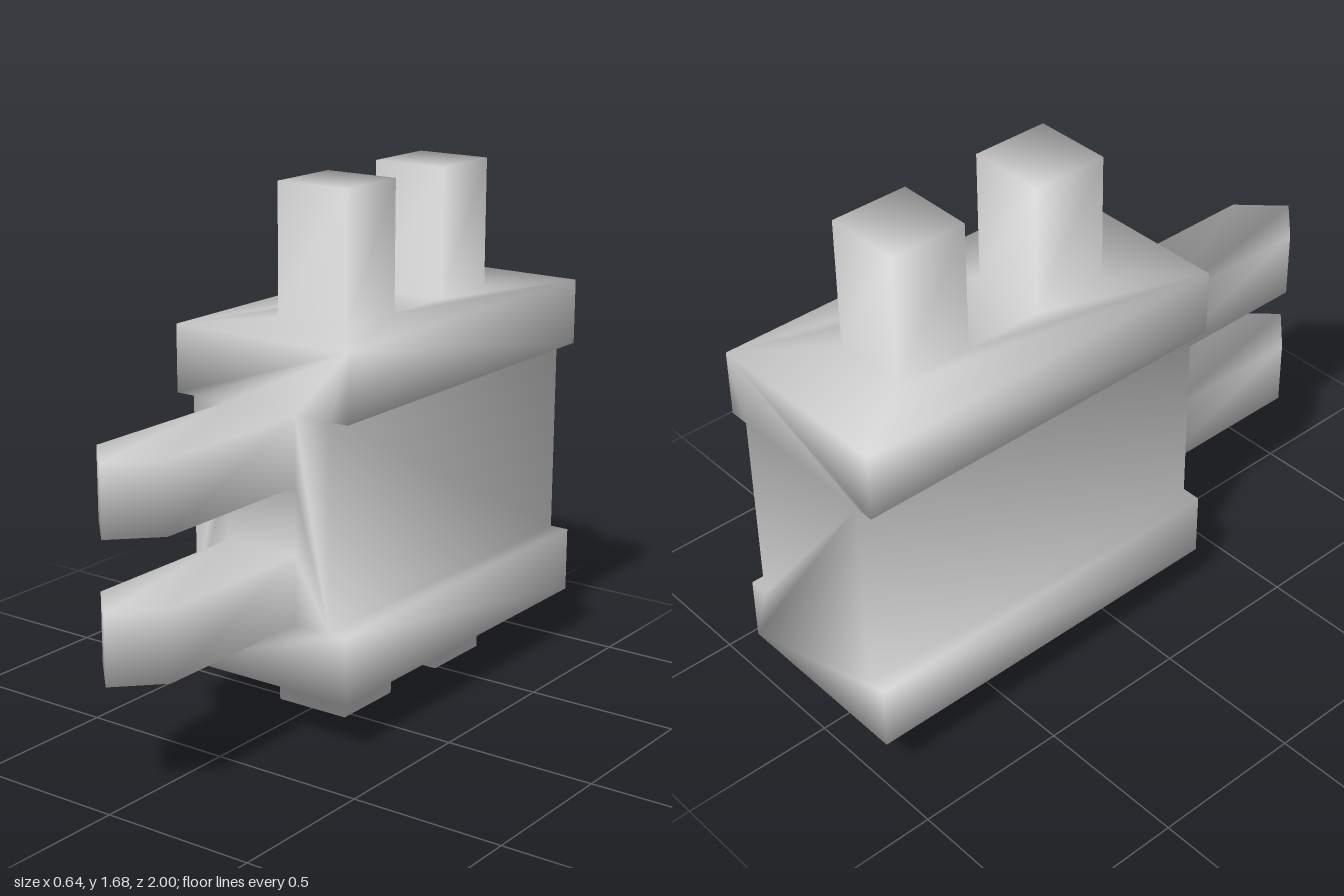
import * as THREE from 'three';

const rect = (w, y0, y1) => [[-w, y0], [w, y0], [w, y1], [-w, y1]];

// Flat face across a counter-clockwise outline; a flipped face looks towards -z
function panel(outline, z, { holes = [], flip = false } = {}) {
  const flat = (points) => points.map(([x, y]) => new THREE.Vector2(x, y));
  const faces = THREE.ShapeUtils.triangulateShape(flat(outline), holes.map(flat));
  const points = [outline, ...holes].flat();
  return faces.flatMap(([a, b, c]) => (flip ? [a, c, b] : [a, b, c]))
    .map((i) => new THREE.Vector3(points[i][0], points[i][1], z));
}

// Walls along an outline from z0 to z1, leaving out the listed edges
function walls(outline, z0, z1, skip = []) {
  return outline.flatMap(([ax, ay], i) => {
    if (skip.includes(i)) return [];
    const [bx, by] = outline[(i + 1) % outline.length];
    return [[ax, ay, z0], [bx, by, z0], [bx, by, z1], [ax, ay, z0], [bx, by, z1], [ax, ay, z1]]
      .map((p) => new THREE.Vector3(...p));
  });
}

// Turn the drawing plane to lie flat (angle about x), then lift it to height y
const lay = (points, angle, y) => points.map((p) => p.applyAxisAngle(new THREE.Vector3(1, 0, 0), angle).setY(p.y + y));

// Shared corner normals, weighted by angle, so shading flows across all the joined parts
function smoothNormals(parts) {
  const sums = new Map();
  const key = (p) => [p.x, p.y, p.z].map((v) => Math.round(v * 1000)).join();
  for (const { points } of parts) {
    for (let i = 0; i < points.length; i += 3) {
      const corners = points.slice(i, i + 3);
      const normal = new THREE.Triangle(...corners).getNormal(new THREE.Vector3());
      corners.forEach((p, k) => {
        const e1 = corners[(k + 1) % 3].clone().sub(p);
        const e2 = corners[(k + 2) % 3].clone().sub(p);
        if (!sums.has(key(p))) sums.set(key(p), new THREE.Vector3());
        sums.get(key(p)).addScaledVector(normal, e1.angleTo(e2));
      });
    }
  }
  return (p) => sums.get(key(p)).clone().normalize();
}

export function createModel() {
  const parts = [];
  const add = (name, points) => parts.push({ name, points });
  const w = 0.128;
  const prongs = [[0.39, 0.61], [0.825, 1.045]];
  const posts = [[-0.222, 0.034], [-0.738, -0.482]];

  // I-shaped block: narrow waist between two wide flanges, open where prongs and posts join
  const half = [[0.32, 0.175], [0.32, 0.39], [0.255, 0.39], [0.255, 1.045], [0.32, 1.045], [0.32, 1.26]];
  const profile = [...half, ...half.map(([x, y]) => [-x, y]).reverse()];
  add('body', [
    ...walls(profile, -1, 0.29, [5, 11]),
    ...panel(profile, 0.29, { holes: prongs.map(([y0, y1]) => rect(w, y0, y1)) }),
    ...panel(profile, -1, { flip: true }),
  ]);

  // Top and bottom faces with their square posts, tall above and short below
  for (const [side, y, length] of [[1, 1.26, 0.42], [-1, 0.175, 0.175]]) {
    const angle = -side * Math.PI / 2;
    const span = (z0, z1) => [-side * z0, -side * z1].sort((a, b) => a - b);
    const squares = posts.map(([z0, z1]) => rect(w, ...span(z0, z1)));
    const face = panel(rect(0.32, ...span(-1, 0.29)), 0, { holes: squares });
    add(side > 0 ? 'topFace' : 'bottomFace', lay(face, angle, y));
    for (const square of squares) {
      const post = [...walls(square, 0, length), ...panel(square, length)];
      add(side > 0 ? 'topPost' : 'bottomPost', lay(post, angle, y));
    }
  }

  // Front prongs: square bars with a wedge tip, ridge standing upright
  const outline = [[-w, 0.29], [w, 0.29], [w, 0.87], [0, 1], [-w, 0.87]];
  for (const [y0, y1] of prongs) {
    const height = y1 - y0;
    const prong = [
      ...walls(outline, 0, height, [0]),
      ...panel(outline, height),
      ...panel(outline, 0, { flip: true }),
    ];
    add('frontProng', lay(prong, Math.PI / 2, y1));
  }

  const model = new THREE.Group();
  const material = new THREE.MeshStandardMaterial({ color: 0xcccccc });
  const normalAt = smoothNormals(parts);
  for (const { name, points } of parts) {
    const geometry = new THREE.BufferGeometry().setFromPoints(points);
    const normals = points.flatMap((p) => normalAt(p).toArray());
    geometry.setAttribute('normal', new THREE.Float32BufferAttribute(normals, 3));
    const mesh = new THREE.Mesh(geometry, material);
    mesh.name = name;
    model.add(mesh);
  }
  return model;
}
